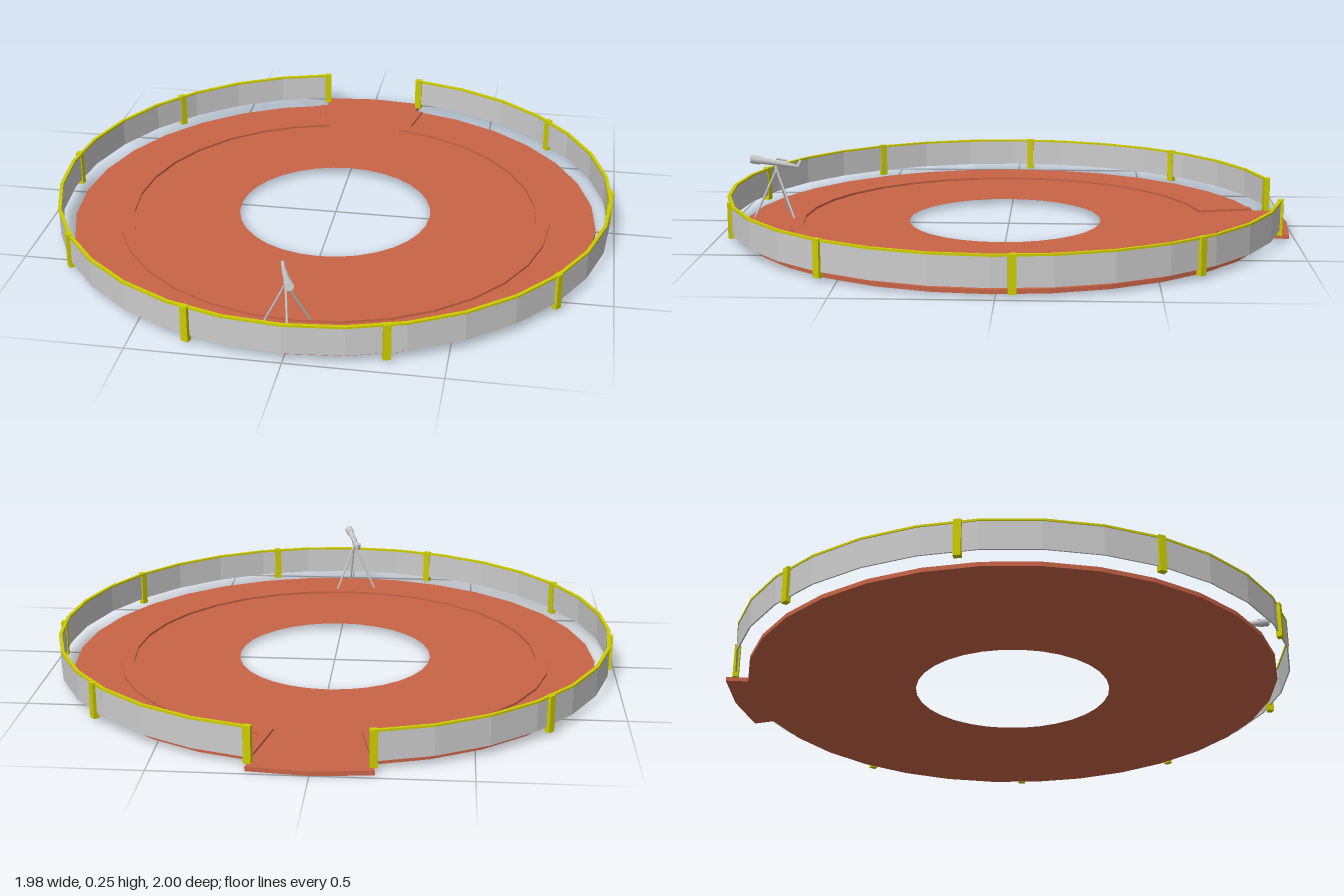
import * as THREE from 'three';

const STEP = Math.PI / 16; // 32-sided rings
const red = new THREE.MeshStandardMaterial({ color: 0xc86446 });
const yellow = new THREE.MeshStandardMaterial({ color: 0xcccc00 });
const grey = new THREE.MeshStandardMaterial({ color: 0xcccccc });

// Plan point at angle a from the doorway (doorway towards -z)
const polar = (r, a) => new THREE.Vector2(r * Math.sin(a), r * Math.cos(a));
const arc = (r, from, to) => {
  const pts = [];
  const d = Math.sign(to - from);
  for (let i = from; i !== to + d; i += d) pts.push(polar(r, i * STEP));
  return pts;
};

// Extrude a plan outline upwards from y0 to y1
function slab(name, points, y0, y1, material, hole) {
  const shape = new THREE.Shape(points);
  if (hole) shape.holes.push(new THREE.Path(hole));
  const geo = new THREE.ExtrudeGeometry(shape, { depth: y1 - y0, bevelEnabled: false });
  geo.rotateX(-Math.PI / 2).translate(0, y0, 0);
  const mesh = new THREE.Mesh(geo, material);
  mesh.name = name;
  return mesh;
}

// Open ring running from one side of the doorway round to the other
const openRing = (rIn, rOut) => [...arc(rIn, 1, 31), ...arc(rOut, 31, 1)];

// Round bar between two points
function bar(name, a, b, rA, rB, sides = 8) {
  const dir = b.clone().sub(a);
  const mesh = new THREE.Mesh(new THREE.CylinderGeometry(rB, rA, dir.length(), sides), grey);
  mesh.position.copy(a).add(b).multiplyScalar(0.5);
  mesh.quaternion.setFromUnitVectors(new THREE.Vector3(0, 1, 0), dir.normalize());
  mesh.name = name;
  return mesh;
}

function createTelescope() {
  const g = new THREE.Group();
  g.name = 'telescope';
  const V = (x, y, z) => new THREE.Vector3(x, y, z);
  const back = V(-0.032, 0.2, 0.785), front = V(0.014, 0.233, 0.932);
  const at = (t) => back.clone().lerp(front, t);
  g.add(bar('tube', back, at(0.8), 0.008, 0.012, 12));
  g.add(bar('lensHood', at(0.78), front, 0.015, 0.015, 12));
  g.add(bar('focuser', at(-0.12), back, 0.006, 0.006));
  g.add(bar('eyepiece', at(-0.1), at(-0.14).add(V(-0.003, 0.024, -0.005)), 0.006, 0.007));
  g.add(bar('finderScope', at(0.15).add(V(0, 0.016, 0)), at(0.4).add(V(0, 0.016, 0)), 0.004, 0.004));
  const head = V(-0.015, 0.19, 0.845);
  g.add(bar('mount', head, at(0.41), 0.008, 0.008));
  for (const foot of [V(0.05, 0.015, 0.77), V(-0.1, 0.015, 0.82), V(0.005, 0.015, 0.925)]) {
    g.add(bar('tripodLeg', foot, head, 0.004, 0.004, 6));
  }
  return g;
}

export function createModel() {
  const model = new THREE.Group();
  model.name = 'observationDeck';
  const ring = new THREE.Group();
  ring.name = 'platform';
  ring.position.z = 0.013;
  model.add(ring);

  // Ring-shaped floor with a doorway tab
  ring.add(slab('floor', [...arc(1.013, -1, 1), ...arc(0.935, 1, 31)], 0, 0.015, red,
    arc(0.345, 0, 31)));

  // Raised kerb, turning outwards along both sides of the doorway
  const w = 0.035, first = STEP, last = 31 * STEP;
  ring.add(slab('kerb', [
    ...arc(0.725, 1, 31),
    polar(0.925, last), polar(0.925, last - w / 0.925), polar(0.772, last - w / 0.772),
    ...arc(0.772, 30, 2),
    polar(0.772, first + w / 0.772), polar(0.925, first + w / 0.925), polar(0.925, first),
  ], 0.015, 0.023, red));

  // Guard panel with handrail
  ring.add(slab('guardPanel', openRing(0.977, 0.982), 0.032, 0.129, grey));
  ring.add(slab('handrail', openRing(0.973, 0.985), 0.129, 0.136, yellow));

  // Ten evenly spaced posts
  for (let i = 0; i < 10; i++) {
    const a = STEP + (i / 9) * 30 * STEP;
    const p = polar(0.98, a);
    const post = new THREE.Mesh(new THREE.BoxGeometry(0.025, 0.125, 0.02), yellow);
    post.position.set(p.x, 0.0755, -p.y);
    post.rotation.y = -a;
    post.name = 'post';
    ring.add(post);
  }

  model.add(createTelescope());
  return model;
}
